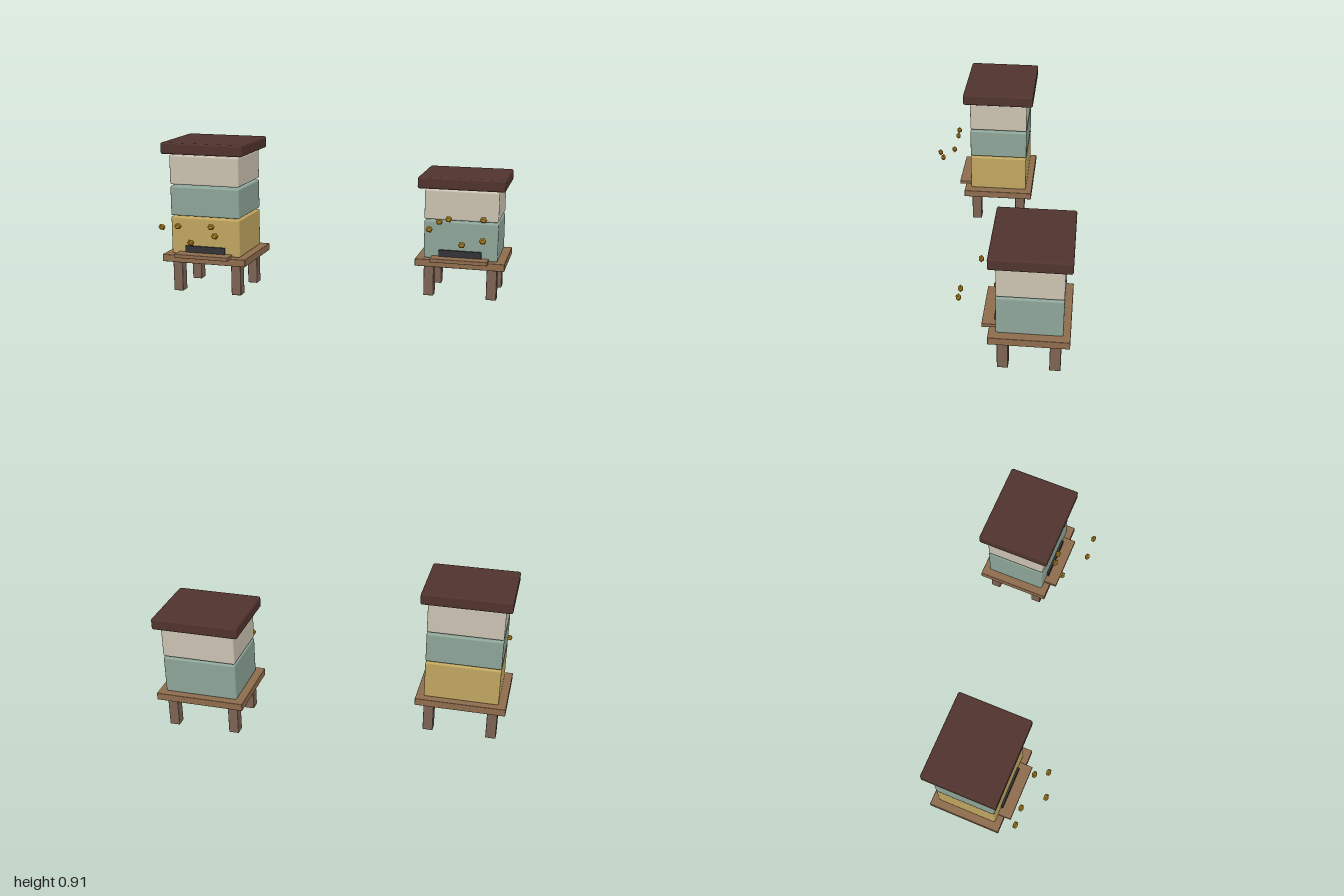
import * as THREE from 'three';
import { RoundedBoxGeometry } from 'three/addons/geometries/RoundedBoxGeometry.js';

const mat = (name, color, flatShading = false) => {
  const m = new THREE.MeshStandardMaterial({ color, flatShading });
  m.name = name;
  return m;
};

export function createModel() {
  const cream = mat('cream paint', 0xcbc2b1);
  const sage = mat('sage paint', 0x8da598);
  const honey = mat('honey paint', 0xc0a660);
  const roofBrown = mat('roof brown', 0x50332d);
  const wood = mat('stand wood', 0x8e6c4d);
  const legWood = mat('leg wood', 0x7c6353);
  const dark = mat('entrance dark', 0x343439);
  const beeGold = mat('bee gold', 0xb08420, true);

  const model = new THREE.Group();
  model.name = 'apiary';

  // Rounded box spanning y0 to y1
  function block(parent, name, material, w, y0, y1, d, x = 0, z = 0, r = 0.004) {
    const mesh = new THREE.Mesh(new RoundedBoxGeometry(w, y1 - y0, d, 2, r), material);
    mesh.name = name;
    mesh.position.set(x, (y0 + y1) / 2, z);
    parent.add(mesh);
  }

  function hive(name, x, z, paints) {
    const g = new THREE.Group();
    g.name = name;
    g.position.set(x, 0, z);

    // Stand
    for (const sx of [-1, 1]) for (const sz of [-1, 1])
      block(g, 'standLeg', legWood, 0.06, 0, 0.19, 0.06, sx * 0.186, sz * 0.14);
    block(g, 'standTop', wood, 0.525, 0.19, 0.234, 0.432);

    // Stacked boxes with a narrow gap between them
    const levels = [[0.234, 0.46], [0.467, 0.645], [0.654, 0.831]];
    paints.forEach((paint, i) =>
      block(g, 'hiveBox', paint, 0.434, levels[i][0], levels[i][1], 0.355, 0, 0, 0.01));

    // Roof, entrance slot and landing board
    const top = levels[paints.length - 1][1] + 0.009;
    block(g, 'roof', roofBrown, 0.508, top, top + 0.068, 0.432, 0, 0, 0.011);
    block(g, 'entrance', dark, 0.25, 0.246, 0.289, 0.024, 0, 0.178, 0.001);
    block(g, 'landingBoard', wood, 0.335, 0.228, 0.25, 0.1, 0, 0.206, 0.002);
    model.add(g);
  }

  hive('tallHive', -0.737, 0.053, [honey, sage, cream]);
  hive('shortHive', 0.737, -0.256, [sage, cream]);

  // Bees hovering in front of the hives
  const beeShape = new THREE.IcosahedronGeometry(0.0195, 0).scale(1.15, 1, 0.85);
  const bees = [
    [-0.952, 0.424, 0.36], [-0.853, 0.433, 0.354], [-0.729, 0.368, 0.458],
    [-0.647, 0.44, 0.351], [-0.597, 0.404, 0.419],
    [0.571, 0.433, 0.036], [0.618, 0.467, -0.03], [0.671, 0.483, -0.034],
    [0.867, 0.48, -0.079], [0.774, 0.375, 0.125], [0.89, 0.403, 0.12],
  ];
  for (const p of bees) {
    const bee = new THREE.Mesh(beeShape, beeGold);
    bee.name = 'bee';
    bee.position.set(...p);
    model.add(bee);
  }
  return model;
}
